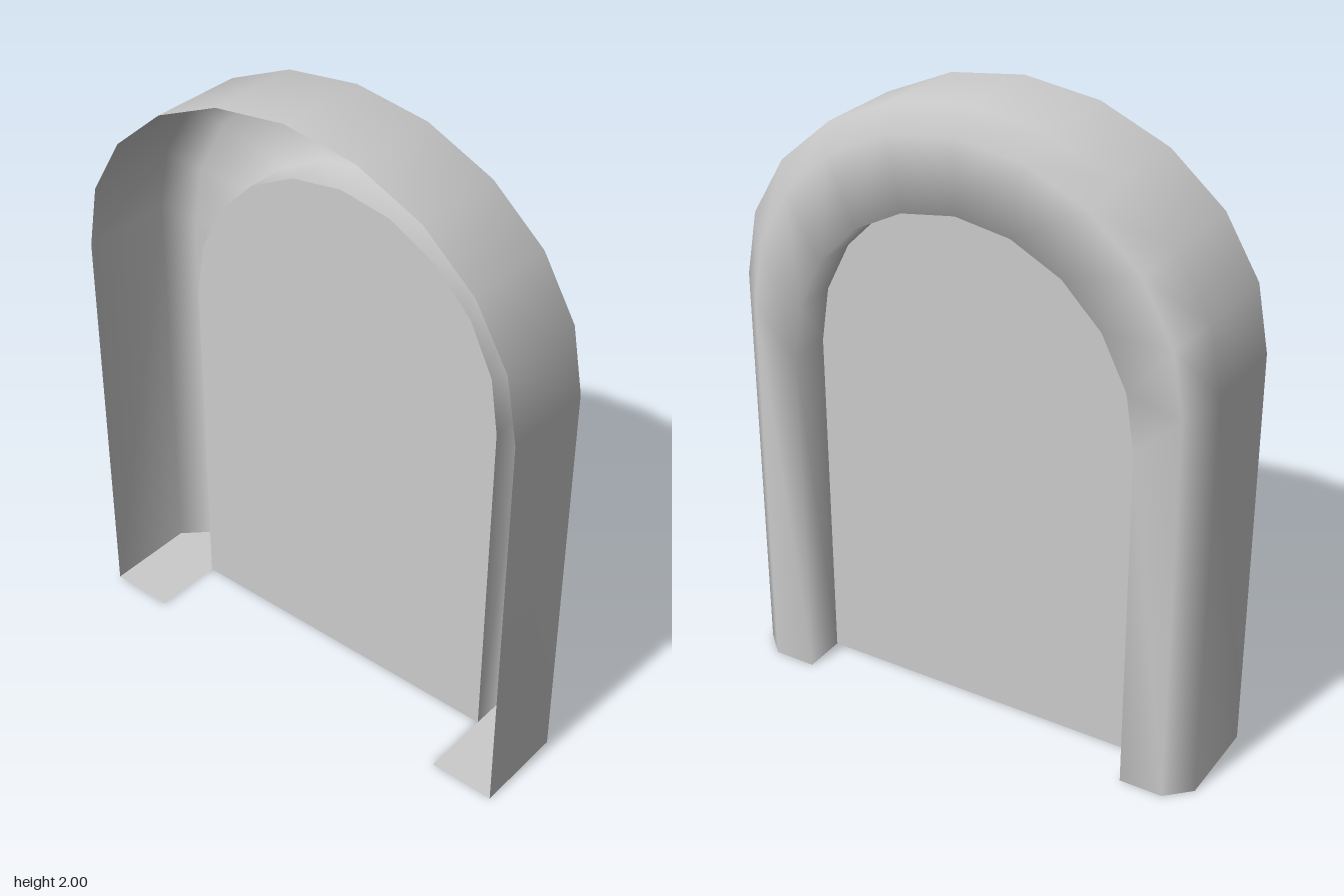
import * as THREE from 'three';

const ARC_SEGMENTS = 10;
const BACK = -0.1875, FRONT = 0.1875, PANEL_X = 0.045;

// Profile of the surround, from the outer back edge round to the panel:
// x = depth, w = half width, h = height of the arc, spring = where the arc starts
const PROFILE = [
  { x: BACK, w: 0.785, h: 0.67, spring: 1.33 },
  { x: 0.115, w: 0.785, h: 0.67, spring: 1.33 },
  { x: FRONT, w: 0.71, h: 0.665, spring: 1.265 },
  { x: FRONT, w: 0.57, h: 0.575, spring: 1.13 },
  { x: PANEL_X, w: 0.57, h: 0.575, spring: 1.13 },
];

// Arch outline as [z, y] points: up one leg, over the arc, down the other
function archPoints({ w, h, spring }) {
  const points = [[w, 0]];
  for (let i = 0; i <= ARC_SEGMENTS; i++) {
    const a = (i / ARC_SEGMENTS) * Math.PI;
    points.push([w * Math.cos(a), spring + h * Math.sin(a)]);
  }
  points.push([-w, 0]);
  return points;
}

// Skin joining the arch outlines, smooth across the rounded edges
function surroundGeometry() {
  const positions = [], index = [];
  const rows = PROFILE.map(archPoints);
  const n = rows[0].length;
  rows.forEach((row, j) => row.forEach(([z, y]) => positions.push(PROFILE[j].x, y, z)));
  for (let j = 0; j < rows.length - 1; j++) {
    for (let i = 0; i < n - 1; i++) {
      const a = j * n + i, b = a + n;
      index.push(a, b, a + 1, b, b + 1, a + 1);
    }
  }
  const geometry = new THREE.BufferGeometry();
  geometry.setAttribute('position', new THREE.Float32BufferAttribute(positions, 3));
  geometry.setIndex(index);
  geometry.computeVertexNormals();
  return geometry;
}

export function createModel() {
  const group = new THREE.Group();
  group.name = 'archedAlcove';
  const material = new THREE.MeshStandardMaterial({ color: 0xcccccc, side: THREE.DoubleSide });
  const add = (name, geometry) => {
    const mesh = new THREE.Mesh(geometry, material);
    mesh.name = name;
    group.add(mesh);
    return mesh;
  };

  // Arched surround, open at the back
  add('archSurround', surroundGeometry());

  // Recessed panel filling the opening
  const outline = archPoints(PROFILE[4]).map(([z, y]) => new THREE.Vector2(z, y));
  const panel = new THREE.ShapeGeometry(new THREE.Shape(outline)).rotateY(Math.PI / 2);
  add('recessedPanel', panel).position.x = PANEL_X;

  // Flat foot under each leg
  for (const side of [1, -1]) {
    const corners = PROFILE.map(({ x, w }) => new THREE.Vector2(x, side * w));
    corners.push(new THREE.Vector2(BACK, side * 0.57));
    const foot = new THREE.ShapeGeometry(new THREE.Shape(corners)).rotateX(Math.PI / 2);
    add(side > 0 ? 'frontFoot' : 'backFoot', foot);
  }

  return group;
}
